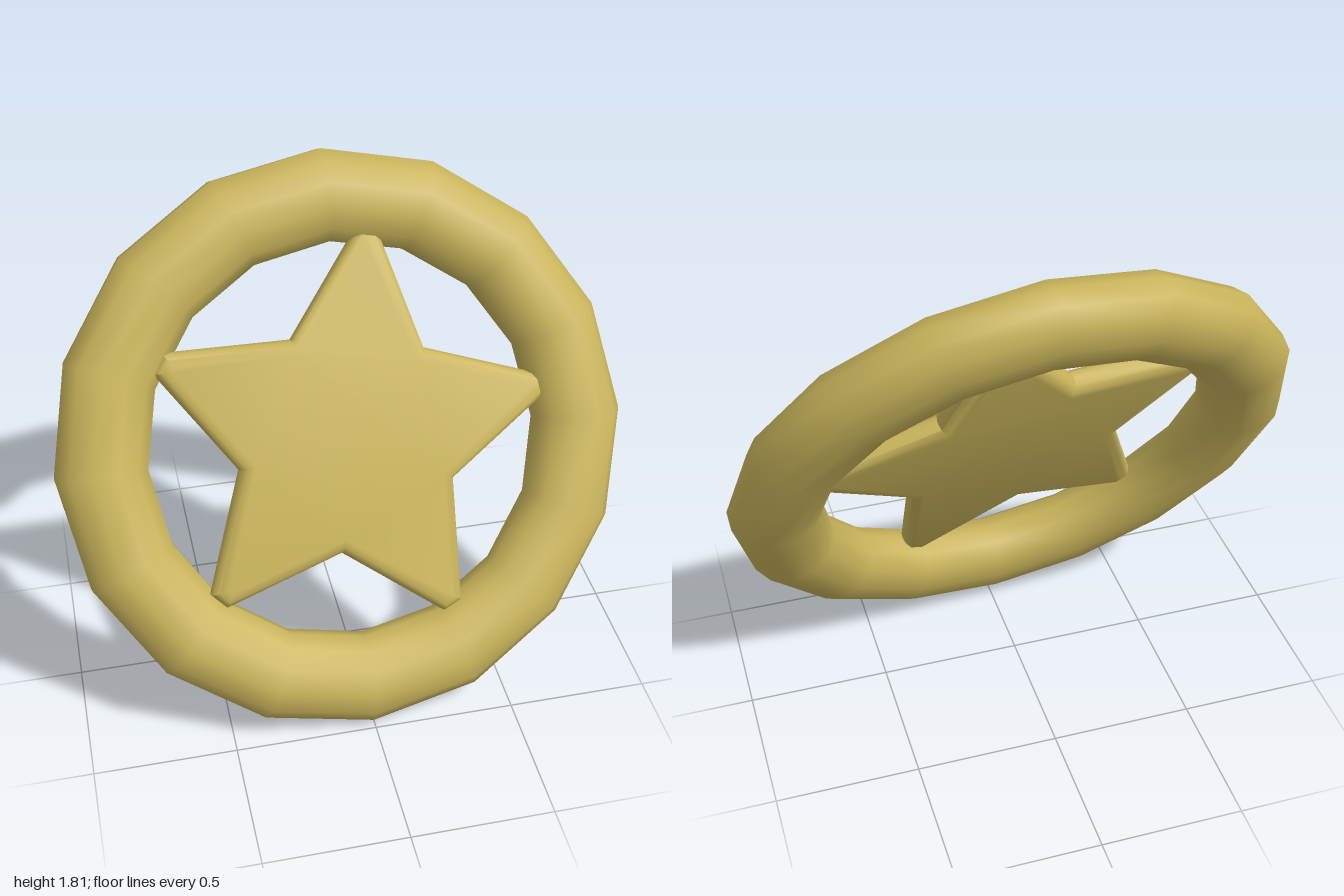
import * as THREE from 'three';
import { mergeVertices, toCreasedNormals } from 'three/addons/utils/BufferGeometryUtils.js';

// Five-pointed outline with blunt tips
function starShape(tipRadius, innerRadius, tipHalfWidth, turn) {
  const points = [];
  for (let i = 0; i < 5; i++) {
    const a = turn + (i * Math.PI * 2) / 5;
    const c = Math.cos(a), s = Math.sin(a);
    for (const w of [-tipHalfWidth, tipHalfWidth]) {
      points.push(new THREE.Vector2(c * tipRadius - s * w, s * tipRadius + c * w));
    }
    const b = a + Math.PI / 5;
    points.push(new THREE.Vector2(Math.cos(b) * innerRadius, Math.sin(b) * innerRadius));
  }
  return new THREE.Shape(points);
}

// Ring with a flattened twelve-sided section, lying in the xy plane
function ringGeometry(radius, halfWidth, halfDepth) {
  const section = [];
  for (let i = 0; i <= 12; i++) {
    const a = ((i + 0.5) * Math.PI) / 6;
    section.push(new THREE.Vector2(radius + halfWidth * Math.cos(a), halfDepth * Math.sin(a)));
  }
  const lathe = new THREE.LatheGeometry(section, 16).rotateX(Math.PI / 2);
  lathe.deleteAttribute('uv');
  lathe.deleteAttribute('normal');
  const ring = mergeVertices(lathe);
  ring.computeVertexNormals();
  return ring;
}

export function createModel() {
  const model = new THREE.Group();
  model.name = 'starBadge';
  const gold = new THREE.MeshStandardMaterial({ color: 0xc9b45b });
  gold.name = 'gold';

  // Leaning frame that carries both parts
  const badge = new THREE.Group();
  badge.name = 'leaningBadge';
  const across = new THREE.Vector3(1, -0.022, -0.05).normalize();
  const up = new THREE.Vector3(0, 0.888, -0.46);
  const normal = across.clone().cross(up).normalize();
  up.crossVectors(normal, across);
  badge.quaternion.setFromRotationMatrix(new THREE.Matrix4().makeBasis(across, up, normal));
  badge.position.y = 0.907;
  model.add(badge);

  // Round ring with sixteen segments
  const ring = new THREE.Mesh(ringGeometry(0.847, 0.16, 0.13), gold);
  ring.name = 'ring';
  ring.rotation.z = -0.012;
  badge.add(ring);

  // Round-edged star, set slightly forward in the ring
  const depth = 0.01;
  const starGeometry = new THREE.ExtrudeGeometry(
    starShape(0.67, 0.351, 0.01, THREE.MathUtils.degToRad(7.5)),
    { depth, bevelEnabled: true, bevelThickness: 0.045, bevelSize: 0.045, bevelSegments: 3 }
  );
  starGeometry.translate(0, 0, -depth / 2);
  const star = new THREE.Mesh(toCreasedNormals(starGeometry, 0.7), gold);
  star.name = 'star';
  star.position.set(0.006, 0.019, 0.04);
  star.rotation.y = 0.018;
  badge.add(star);

  return model;
}
